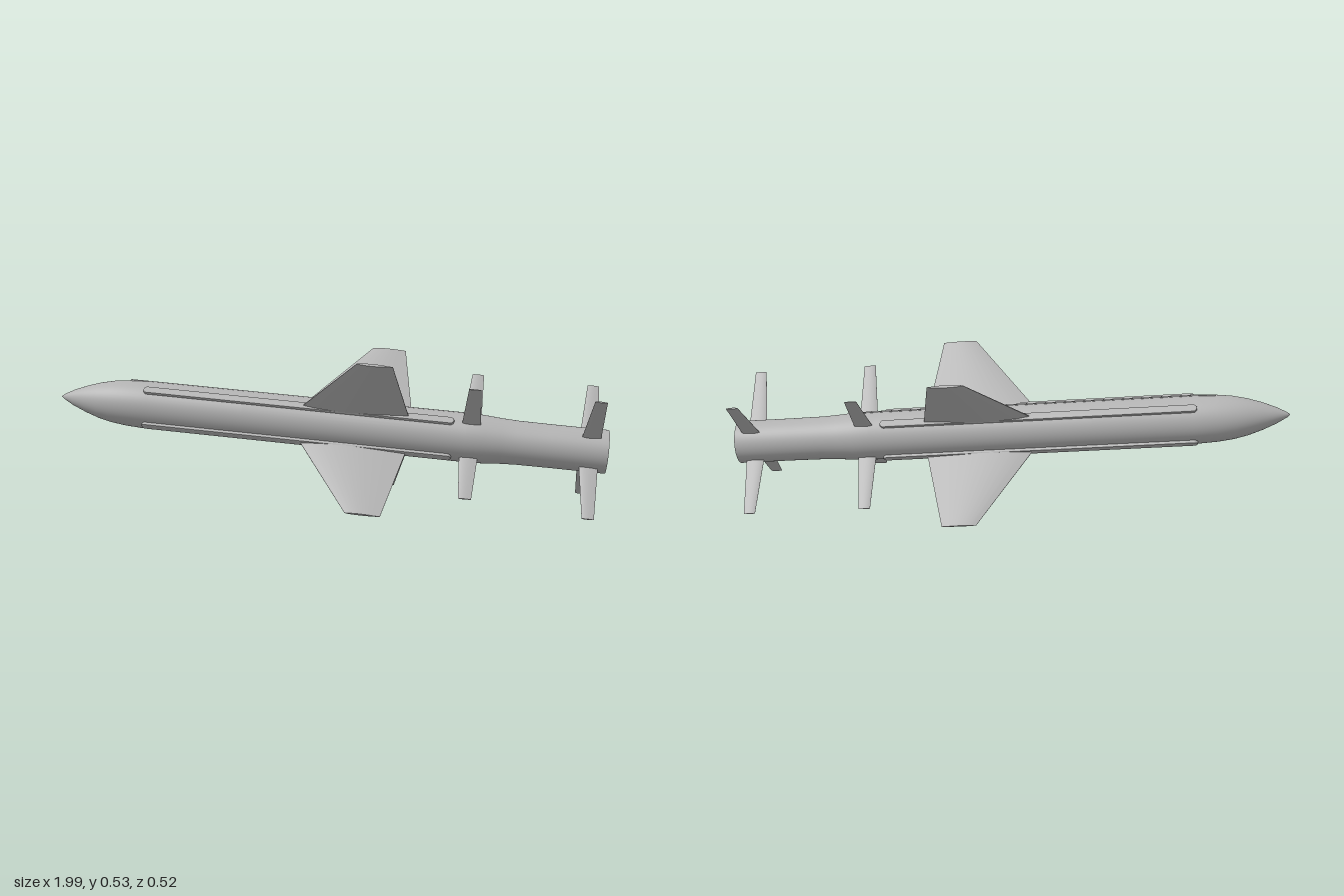
import * as THREE from 'three';
import { mergeGeometries } from 'three/addons/utils/BufferGeometryUtils.js';

// Body axis runs along x: nose at -x, nozzle at +x.
const lathe = (pts) => new THREE.LatheGeometry(
  pts.map(([x, r]) => new THREE.Vector2(r, x)), 48).rotateZ(-Math.PI / 2);

// Lens-section fin: root and tip = [leading x, trailing x, radius, half thickness]
function finGeometry(root, tip) {
  const at = (u, v) => {
    const [lead, trail, r, t] = root.map((a, i) => THREE.MathUtils.lerp(a, tip[i], v));
    const half = t * (0.12 + 0.88 * Math.sin(Math.PI * Math.pow(u, 0.8)));
    return [THREE.MathUtils.lerp(lead, trail, u), r, half];
  };
  const sheet = (rule, segments = 10) => {
    const g = new THREE.PlaneGeometry(1, 1, segments, 1);
    const p = g.attributes.position;
    for (let i = 0; i < p.count; i++) p.setXYZ(i, ...rule(p.getX(i) + 0.5, p.getY(i) + 0.5));
    g.computeVertexNormals();
    return g;
  };
  return mergeGeometries([
    sheet((u, v) => at(u, v)),
    sheet((u, v) => { const [x, y, h] = at(1 - u, v); return [x, y, -h]; }),
    sheet((u, v) => { const [x, y, h] = at(u, 1); return [x, y, h * (1 - 2 * v)]; }),
    sheet((u, v) => { const [x, y, h] = at(0, v); return [x, y, h * (2 * u - 1)]; }, 1),
    sheet((u, v) => { const [x, y, h] = at(1, v); return [x, y, h * (1 - 2 * u)]; }, 1),
  ]);
}

// Long strip with rounded ends, standing on the hull
function railGeometry(x0, x1, halfWidth, r0, r1) {
  const s = new THREE.Shape();
  s.absarc(x1 - halfWidth, 0, halfWidth, -Math.PI / 2, Math.PI / 2, false);
  s.absarc(x0 + halfWidth, 0, halfWidth, Math.PI / 2, Math.PI * 1.5, false);
  const bevel = 0.004;
  return new THREE.ExtrudeGeometry(s, {
    depth: r1 - r0 - bevel, bevelEnabled: true, bevelSize: bevel, bevelOffset: -bevel,
    bevelThickness: bevel, bevelSegments: 2, curveSegments: 8,
  }).rotateX(-Math.PI / 2).translate(0, r0, 0);
}

export function createModel() {
  const model = new THREE.Group();
  model.name = 'missile';
  const grey = new THREE.MeshStandardMaterial({ color: 0xb4b4b4 });
  grey.name = 'grey paint';

  const add = (name, geometry, angle = 0) => {
    const mesh = new THREE.Mesh(geometry, grey);
    mesh.name = name;
    mesh.rotation.x = angle;
    model.add(mesh);
    return mesh;
  };

  // Hull with pointed nose, slimmer tail section and hollow nozzle
  add('hull', lathe([
    [-1, 0], [-0.99, 0.009], [-0.95, 0.03], [-0.9, 0.05], [-0.85, 0.066], [-0.8, 0.077],
    [-0.74, 0.084], [-0.66, 0.088], [-0.3, 0.088], [0.5, 0.088], [0.56, 0.086],
    [0.62, 0.081], [0.68, 0.078], [0.8, 0.077], [0.992, 0.077],
  ]));
  add('nozzleRim', lathe([[0.992, 0.077], [0.992, 0.07]]));
  add('nozzleBowl', lathe([
    [0.992, 0.07], [0.96, 0.068], [0.93, 0.06], [0.905, 0.042], [0.89, 0.02], [0.886, 0],
  ]));

  // Seam along the top
  add('topSeam', railGeometry(-0.74, 0.54, 0.003, 0.08, 0.0895));

  // Four sets of rails, wings and fins on the diagonals
  const rail = railGeometry(-0.67, 0.455, 0.014, 0.07, 0.098);
  const wing = finGeometry([-0.095, 0.297, 0.08, 0.014], [0.118, 0.24, 0.365, 0.005]);
  const middleFin = finGeometry([0.482, 0.548, 0.075, 0.004], [0.498, 0.54, 0.285, 0.0025]);
  const shortMiddleFin = finGeometry([0.482, 0.548, 0.075, 0.004], [0.496, 0.541, 0.257, 0.0025]);
  const tailFin = finGeometry([0.898, 0.963, 0.07, 0.004], [0.916, 0.957, 0.284, 0.0025]);
  ['upperLeftFront', 'lowerFront', 'lowerBack', 'upperBack'].forEach((_, i) => {
    const angle = Math.PI / 4 + i * Math.PI / 2;
    add('rail', rail, angle);
    add('wing', wing, angle);
    add('middleFin', i === 1 ? shortMiddleFin : middleFin, angle);
    add('tailFin', tailFin, angle);
  });

  // Nose-up attitude
  model.rotation.set(0, 0.004, -0.078);
  model.position.set(0, 0.28, -0.003);
  const group = new THREE.Group();
  group.add(model);
  return group;
}
